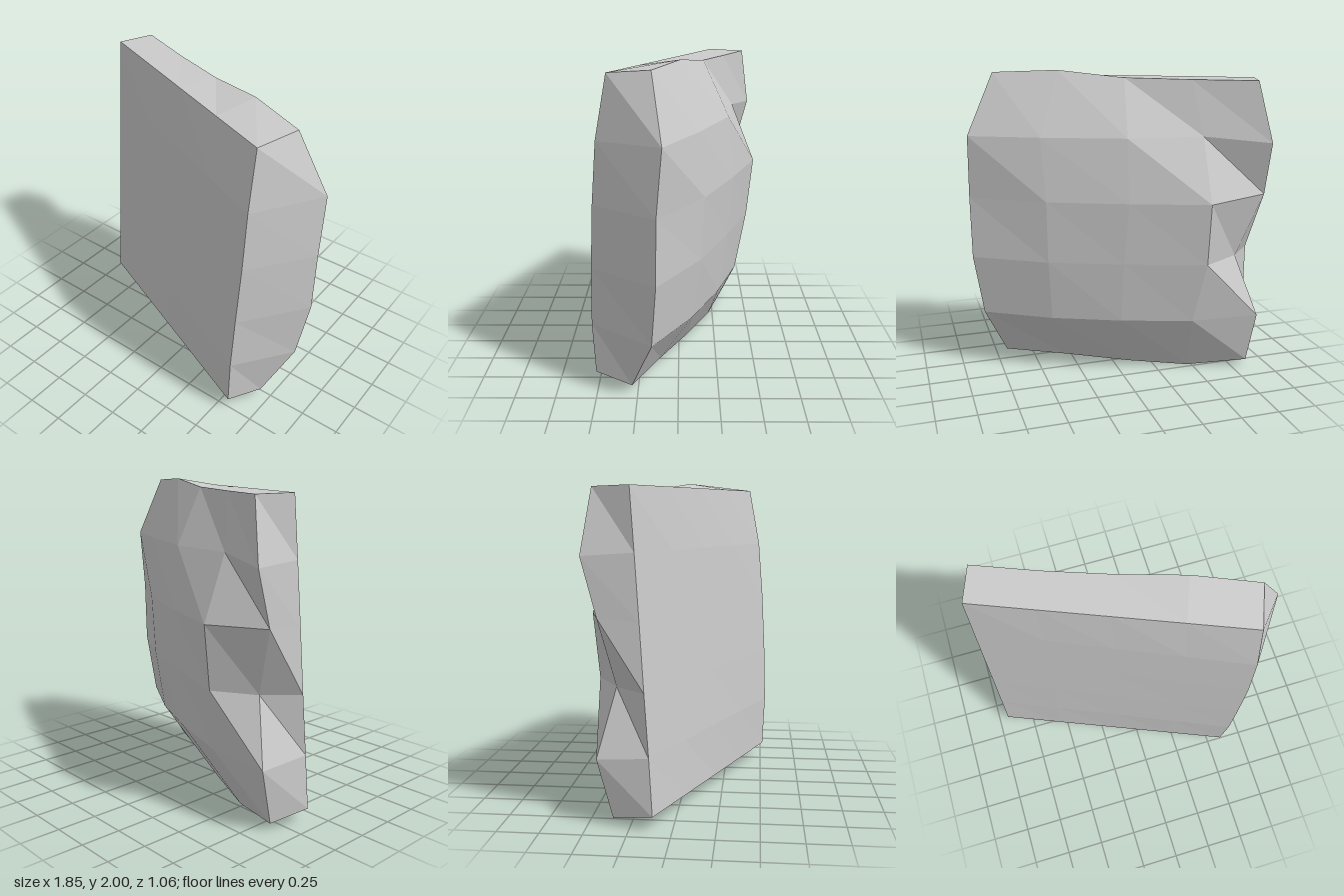
import * as THREE from 'three';

// Rows run from bottom to top. Each holds the two ends of the flat front face
// (left, right) and five points across the rough back, from +x to -x.
const ROWS = [
  { front: [[-0.93, 0.09, -0.11], [0.585, 0.09, 0.515]],
    back: [[0.69, 0.055, 0.285], [0.3, 0.035, 0.12], [-0.1, 0.01, -0.06], [-0.47, 0, -0.22], [-0.85, 0.045, -0.35]] },
  { front: [[-0.92, 0.43, -0.13], [0.605, 0.43, 0.53]],
    back: [[0.85, 0.4, 0.155], [0.44, 0.4, -0.09], [0.02, 0.4, -0.27], [-0.42, 0.4, -0.41], [-0.87, 0.4, -0.44]] },
  { front: [[-0.91, 0.8, -0.155], [0.625, 0.8, 0.52]],
    back: [[0.915, 0.8, 0.125], [0.47, 0.8, -0.14], [0.02, 0.8, -0.32], [-0.48, 0.8, -0.49], [-0.74, 0.8, -0.34]] },
  { front: [[-0.9, 1.2, -0.18], [0.645, 1.2, 0.5]],
    back: [[0.92, 1.2, 0.12], [0.48, 1.2, -0.16], [0, 1.2, -0.36], [-0.48, 1.2, -0.53], [-0.89, 1.22, -0.42]] },
  { front: [[-0.89, 1.58, -0.205], [0.65, 1.58, 0.47]],
    back: [[0.92, 1.6, 0.085], [0.5, 1.6, -0.12], [0, 1.6, -0.32], [-0.48, 1.6, -0.37], [-0.885, 1.56, -0.51]] },
  { front: [[-0.88, 1.945, -0.23], [0.645, 1.96, 0.4]],
    back: [[0.74, 1.985, 0.145], [0.36, 2, -0.01], [-0.03, 1.955, -0.155], [-0.42, 1.945, -0.3], [-0.8, 1.94, -0.455]] },
];
const COLS = 5;

// Closed ring of one row: along the front, then back again behind.
function ring({ front: [a, b], back }) {
  const points = [];
  for (let j = 0; j < COLS; j++) {
    points.push(a.map((v, k) => THREE.MathUtils.lerp(v, b[k], j / (COLS - 1))));
  }
  return points.concat(back);
}

export function createModel() {
  const rings = ROWS.map(ring);
  const n = COLS * 2;
  const last = rings.length - 1;
  const positions = [];
  const quad = (a, b, c, d) => [a, b, d, b, c, d].forEach((p) => positions.push(...p));

  // Walls between neighbouring rows
  for (let r = 0; r < last; r++) {
    for (let i = 0; i < n; i++) {
      const k = (i + 1) % n;
      quad(rings[r][i], rings[r][k], rings[r + 1][k], rings[r + 1][i]);
    }
  }

  // Top and bottom, bridged from front to back
  const top = rings[last];
  const bottom = rings[0];
  for (let j = 0; j < COLS - 1; j++) {
    quad(top[j], top[j + 1], top[n - 2 - j], top[n - 1 - j]);
    quad(bottom[j + 1], bottom[j], bottom[n - 1 - j], bottom[n - 2 - j]);
  }

  const geometry = new THREE.BufferGeometry();
  geometry.setAttribute('position', new THREE.Float32BufferAttribute(positions, 3));
  geometry.computeVertexNormals();

  const slab = new THREE.Mesh(
    geometry,
    new THREE.MeshStandardMaterial({ color: 0xcccccc, flatShading: true }),
  );
  slab.name = 'stoneSlab';

  const group = new THREE.Group();
  group.name = 'brokenStone';
  group.add(slab);
  return group;
}
